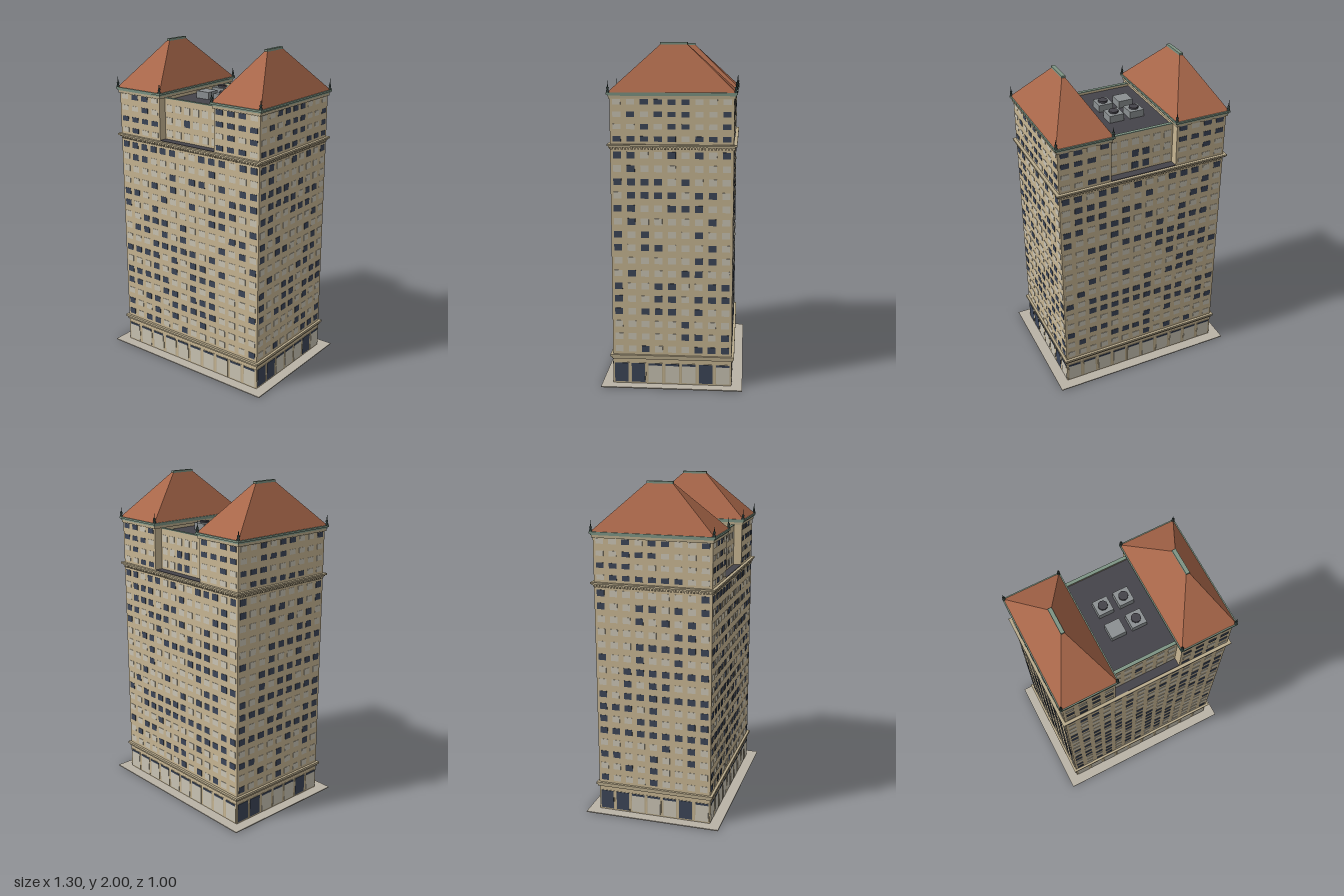
import * as THREE from 'three';
import { mergeGeometries } from 'three/addons/utils/BufferGeometryUtils.js';

const mat = (color) => new THREE.MeshStandardMaterial({ color });
const M = {
  wall: mat(0xc8b693), trim: mat(0xb9ab8c), pale: mat(0xcac4b4), dark: mat(0x3c4658),
  tile: mat(0xa9674a), green: mat(0x7d9484), iron: mat(0x34423f), deck: mat(0x45434a),
  metal: mat(0x8b9092), paving: mat(0xbab3a6),
};

const W = 1.05, D = 0.70;          // tower block footprint
const INNER = 0.205;               // inner wall of the two upper wings
const MID = 0.30;                  // half depth of the recessed middle
const LEDGE = 1.43, EAVE = 1.725;

let seed = 7;
const rand = () => (seed = (seed * 16807) % 2147483647) / 2147483647;

// Box given by its centre in x and z, and its bottom and top
function box(x, z, y0, y1, w, d) {
  return new THREE.BoxGeometry(w, y1 - y0, d).translate(x, (y0 + y1) / 2, z);
}

export function createModel() {
  const model = new THREE.Group();
  const building = new THREE.Group();
  building.name = 'building';
  building.rotation.y = THREE.MathUtils.degToRad(9);
  model.add(building);

  function add(name, material, geos) {
    const mesh = new THREE.Mesh(mergeGeometries([geos].flat()), material);
    mesh.name = name;
    building.add(mesh);
  }

  // Paving and main walls
  add('paving', M.paving, box(0, 0, 0, 0.006, 1.18, 0.83));
  add('mainWalls', M.wall, box(0, 0, 0.006, LEDGE, W, D));
  const wingW = W / 2 - INNER, wingX = (W / 2 + INNER) / 2;
  add('wingWalls', M.wall, [-1, 1].map((s) => box(s * wingX, 0, LEDGE, 1.70, wingW, D)));
  add('middleWalls', M.wall, box(0, 0, LEDGE, 1.665, INNER * 2, MID * 2));

  // Thin panels on the four faces: u runs along the face, d is its distance out
  const panes = { pale: [], dark: [], trim: [] };
  function panel(kind, angle, d, u, y, w, h, t = 0.004) {
    panes[kind].push(new THREE.BoxGeometry(w, h, t).translate(u, y, d).rotateY(angle));
  }
  function windowGrid(angle, d, u0, width, cols, rows, y0, dy, w, h, darkShare) {
    for (let r = 0; r < rows; r++)
      for (let c = 0; c < cols; c++)
        panel(rand() < darkShare ? 'dark' : 'pale', angle, d,
          u0 + ((c + 0.5) / cols - 0.5) * width, y0 + r * dy, w, h);
  }

  for (const side of [0, 1, 2, 3]) {
    const angle = side * Math.PI / 2, long = side % 2 === 0;
    const d = long ? D / 2 : W / 2, span = long ? W : D;

    // Main storeys
    windowGrid(angle, d, 0, span, long ? 14 : 9, 16, 0.222, 0.0767, 0.046, 0.038, 0.48);

    // Upper storeys
    if (long) {
      for (const s of [-1, 1])
        windowGrid(angle, d, s * wingX, wingW, 4, 4, 1.465, 0.069, 0.05, 0.03, 0.5);
      windowGrid(angle, MID, 0, INNER * 2, 6, 3, 1.475, 0.077, 0.043, 0.042, 0.35);
    } else {
      windowGrid(angle, d, 0, span, 9, 4, 1.465, 0.069, 0.046, 0.03, 0.5);
    }

    // Shop fronts with a dark transom
    const shops = long ? 10 : 7, step = span / shops;
    for (let i = 0; i < shops; i++) {
      const u = (i - (shops - 1) / 2) * step;
      const dark = !long && [0, 1, 5].includes(i);
      panel('trim', angle, d, u, 0.072, 0.092, 0.126, 0.003);
      panel(dark ? 'dark' : 'pale', angle, d, u, 0.068, 0.08, 0.105, 0.006);
      panel('dark', angle, d, u, 0.126, 0.08, 0.012, 0.008);
    }

    // Dentils under the ledge
    const teeth = long ? 56 : 37;
    for (let i = 0; i < teeth; i++)
      panel('trim', angle, d, ((i + 0.5) / teeth - 0.5) * span, 1.411, 0.009, 0.012, 0.016);
  }
  add('paleWindows', M.pale, panes.pale);
  add('darkWindows', M.dark, panes.dark);
  add('dentilsAndFrames', M.trim, panes.trim);

  // Belt courses
  add('beltCourses', M.trim, [
    box(0, 0, 0.16, 0.172, W + 0.016, D + 0.016),
    box(0, 0, 0.172, 0.186, W + 0.03, D + 0.03),
    box(0, 0, 1.417, 1.425, W + 0.02, D + 0.02),
    box(0, 0, 1.425, 1.435, W + 0.036, D + 0.036),
  ]);

  // Dark terraces and middle roof deck with its parapets
  add('terraces', M.deck, [-1, 1].map((s) =>
    box(0, s * (MID + D / 2) / 2, 1.433, 1.438, INNER * 2, D / 2 - MID)));
  add('roofDeck', M.deck, box(0, 0, 1.66, 1.672, INNER * 2, MID * 2 - 0.01));
  add('parapets', M.wall, [-1, 1].map((s) => box(0, s * (MID - 0.007), 1.66, 1.686, INNER * 2, 0.014)));
  add('parapetCopings', M.green, [-1, 1].map((s) => box(0, s * (MID - 0.007), 1.686, 1.691, INNER * 2, 0.02)));

  // Cornices, hipped roofs, ridge caps and corner finials of the wings
  const finialProfile = [[0, 0], [0.009, 0], [0.009, 0.018], [0.005, 0.022], [0.008, 0.034], [0.003, 0.042], [0, 0.075]]
    .map(([r, y]) => new THREE.Vector2(r, y));
  const cornices = [], gutters = [], roofs = [], caps = [], finials = [];
  for (const s of [-1, 1]) {
    cornices.push(box(s * wingX, 0, 1.69, 1.706, wingW + 0.014, D + 0.014));
    gutters.push(box(s * wingX, 0, 1.706, 1.714, wingW + 0.022, D + 0.022),
      box(s * wingX, 0, 1.714, EAVE, wingW + 0.034, D + 0.034));
    const roof = new THREE.BoxGeometry(wingW + 0.02, 1.99 - EAVE, D + 0.02);
    const p = roof.attributes.position;
    for (let i = 0; i < p.count; i++)
      if (p.getY(i) > 0) {
        p.setX(i, Math.sign(p.getX(i)) * 0.009);
        p.setZ(i, Math.sign(p.getZ(i)) * 0.076);
      }
    roof.computeVertexNormals();
    roofs.push(roof.translate(s * wingX, (EAVE + 1.99) / 2, 0));
    caps.push(box(s * wingX, 0, 1.985, 2.0, 0.022, 0.156));
    for (const a of [-1, 1])
      for (const b of [-1, 1])
        finials.push(new THREE.LatheGeometry(finialProfile, 8)
          .translate(s * wingX + a * (wingW / 2 + 0.008), 1.716, b * (D / 2 + 0.008)));
  }
  add('wingCornices', M.trim, cornices);
  add('gutters', M.green, gutters);
  add('hippedRoofs', M.tile, roofs);
  add('ridgeCaps', M.green, caps);
  add('finials', M.iron, finials);

  // Rooftop cooling units, three of them with fans
  const units = [], fans = [];
  for (const x of [-0.064, 0.064])
    for (const z of [-0.075, 0.075]) {
      units.push(box(x, z, 1.67, 1.715, 0.09, 0.09));
      if (x > 0 || z < 0)
        fans.push(new THREE.CylinderGeometry(0.028, 0.028, 0.012, 10).translate(x, 1.72, z));
    }
  add('coolingUnits', M.metal, units);
  add('fans', M.deck, fans);

  return model;
}
